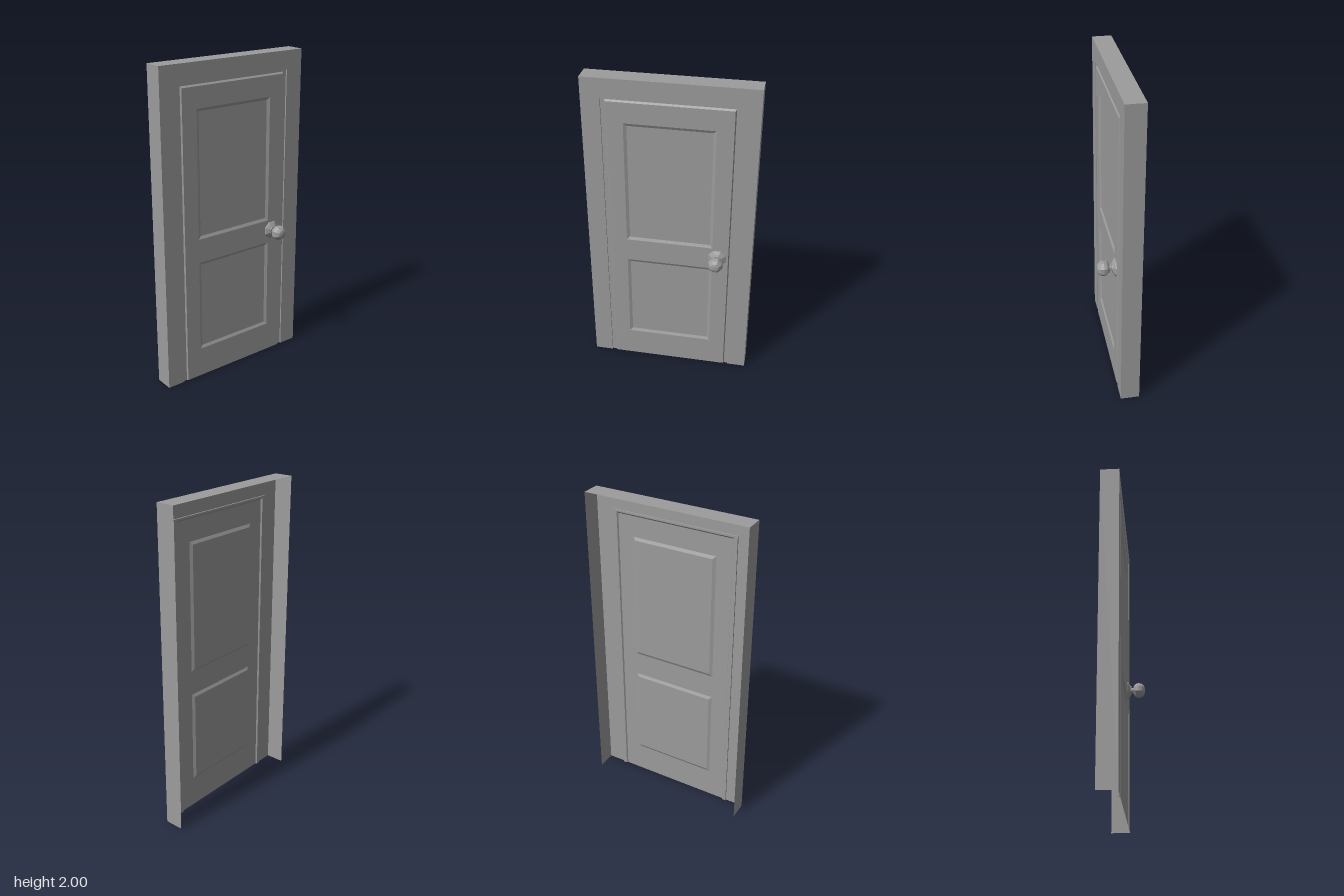
import * as THREE from 'three';

const material = new THREE.MeshStandardMaterial({ color: 0x9c9c9c, flatShading: true, side: THREE.DoubleSide });

function mesh(name, geometry) {
  const m = new THREE.Mesh(geometry, material);
  m.name = name;
  return m;
}

// Corner paths, both running counter-clockwise as seen from the front
const arch = (w, top, z) => [[w, 0, z], [w, top, z], [-w, top, z], [-w, 0, z]];
const rect = (w, y0, y1, z) => [[w, y0, z], [w, y1, z], [-w, y1, z], [-w, y0, z]];

// Joins successive paths (outer to inner) with quads
function loft(paths, closed) {
  const n = paths[0].length, index = [];
  for (let p = 0; p < paths.length - 1; p++) {
    for (let i = 0; i < (closed ? n : n - 1); i++) {
      const j = (i + 1) % n;
      const a = p * n + i, b = p * n + j, c = a + n, d = b + n;
      index.push(a, b, d, a, d, c);
    }
  }
  // A closed loft ends in a flat cap
  if (closed) {
    const s = (paths.length - 1) * n;
    index.push(s, s + 1, s + 2, s, s + 2, s + 3);
  }
  const g = new THREE.BufferGeometry();
  g.setAttribute('position', new THREE.Float32BufferAttribute(paths.flat(2), 3));
  g.setIndex(index);
  const flat = g.toNonIndexed();
  flat.computeVertexNormals();
  return flat;
}

export function createModel() {
  const model = new THREE.Group();
  model.name = 'door';

  const front = 0.003, doorW = 0.37, doorTop = 1.863, panelW = 0.27, bevel = 0.018;
  const panels = [['lowerPanel', 0.192, 0.785], ['upperPanel', 0.937, 1.735]];

  // Wall surround, open at the back and underneath
  model.add(mesh('frame', loft([
    arch(0.515, 2, -0.115), arch(0.515, 2, front), arch(0.4, 1.885, front),
  ])));

  // Shallow groove around the door leaf
  const floor = front - 0.009;
  model.add(mesh('doorGroove', loft([
    arch(0.4, 1.885, front), arch(0.4, 1.885, floor),
    arch(0.376, 1.873, floor), arch(doorW, doorTop, front),
  ])));

  // Door leaf with two panel openings
  const toPoints = path => path.map(([x, y]) => new THREE.Vector2(x, y));
  const leaf = new THREE.Shape(toPoints(arch(doorW, doorTop, 0)));
  for (const [, y0, y1] of panels) leaf.holes.push(new THREE.Path(toPoints(rect(panelW, y0, y1, 0))));
  model.add(mesh('doorLeaf', new THREE.ShapeGeometry(leaf).translate(0, 0, front)));

  // Slightly sunken panels with gently sloped borders
  for (const [name, y0, y1] of panels) {
    model.add(mesh(name, loft([
      rect(panelW, y0, y1, front),
      rect(panelW - bevel, y0 + bevel, y1 - bevel, front - 0.009),
    ], true)));
  }

  // Eight-sided knob: rosette, neck and ball turned about z
  const knob = new THREE.Group();
  knob.name = 'doorknob';
  const turned = (name, points) => {
    const g = new THREE.LatheGeometry(points.map(p => new THREE.Vector2(...p)), 8, Math.PI / 8);
    knob.add(mesh(name, g.rotateX(Math.PI / 2)));
  };
  turned('rosette', [[0.058, 0], [0.055, 0.005], [0.038, 0.016], [0.03, 0.02], [0.029, 0.024], [0.017, 0.025]]);
  turned('neck', [[0.017, 0.023], [0.017, 0.042]]);
  turned('knobBall', [[0.017, 0.037], [0.03, 0.04], [0.044, 0.053], [0.048, 0.072],
    [0.043, 0.092], [0.028, 0.107], [0.014, 0.111], [0, 0.112]]);
  knob.position.set(0.3, 0.867, front);
  model.add(knob);

  return model;
}
